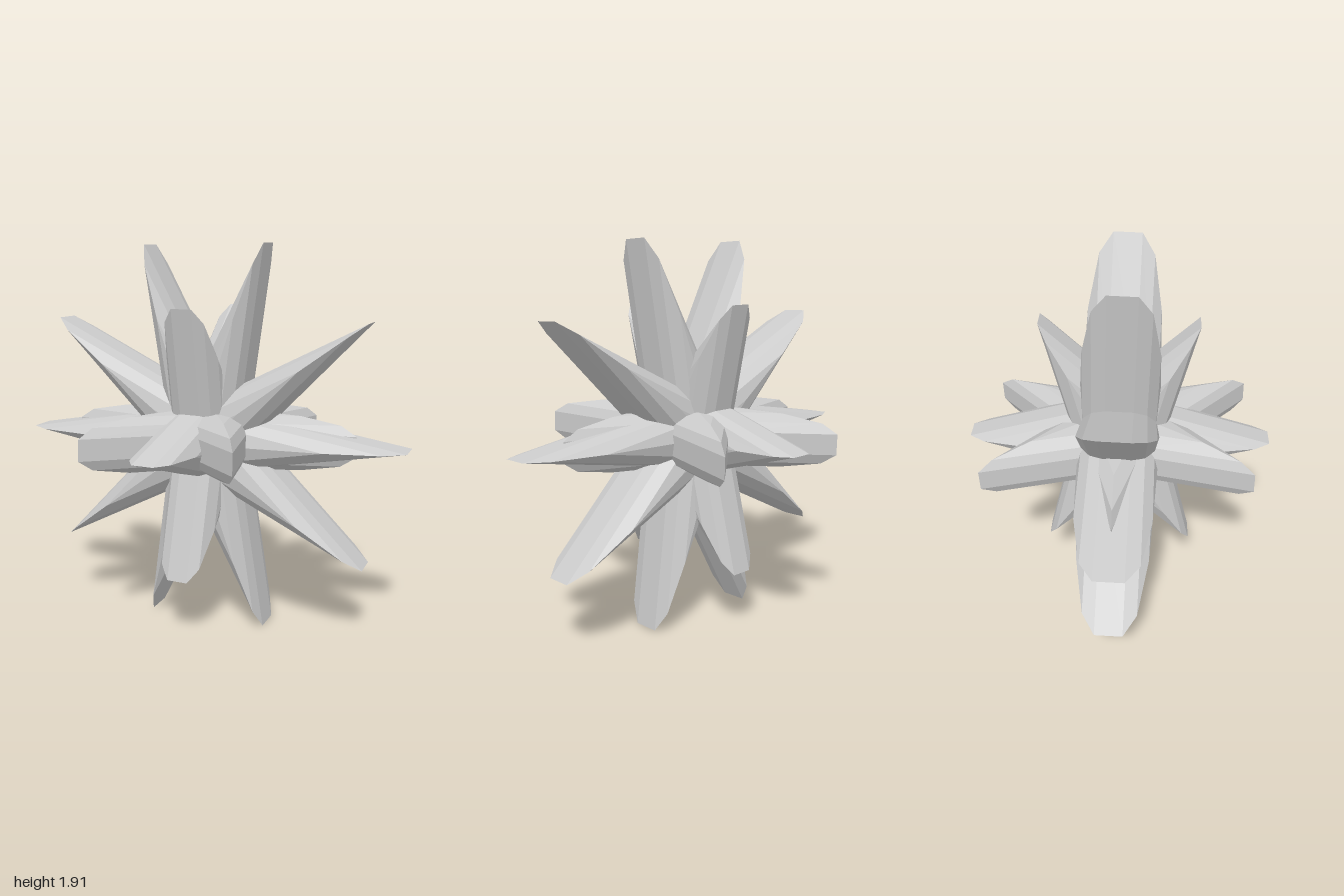
import * as THREE from 'three';

const material = new THREE.MeshStandardMaterial({ color: 0xcccccc, flatShading: true });

// Star plate in the xy plane: stacked star outlines that shrink towards
// both faces, which gives each ray a rounded edge and a short chisel tip.
function starGeometry(points, radius, innerRatio) {
  const half = [[0.27, 0.195], [0.635, 0.178], [0.9, 0.132], [1, 0.068]]; // [scale, depth]
  const layers = [
    ...half.map(([s, z]) => [s, -z]),
    ...half.slice().reverse(),
  ];
  const n = points * 2;
  const pos = [];
  const index = [];
  for (const [s, z] of layers) {
    for (let i = 0; i < n; i++) {
      const r = radius * s * (i % 2 ? innerRatio : 1);
      const a = (i / n) * Math.PI * 2;
      pos.push(r * Math.cos(a), r * Math.sin(a), z * radius);
    }
  }
  // Walls between neighbouring outlines
  for (let k = 0; k < layers.length - 1; k++) {
    for (let i = 0; i < n; i++) {
      const a = k * n + i, b = k * n + ((i + 1) % n);
      index.push(a, b, b + n, a, b + n, a + n);
    }
  }
  // Flat faces, back and front
  const back = pos.length / 3, front = back + 1, last = (layers.length - 1) * n;
  pos.push(0, 0, layers[0][1] * radius, 0, 0, -layers[0][1] * radius);
  for (let i = 0; i < n; i++) {
    const j = (i + 1) % n;
    index.push(back, j, i, front, last + i, last + j);
  }
  const indexed = new THREE.BufferGeometry();
  indexed.setAttribute('position', new THREE.Float32BufferAttribute(pos, 3));
  indexed.setIndex(index);
  const geometry = indexed.toNonIndexed();
  geometry.computeVertexNormals();
  return geometry;
}

export function createModel() {
  const group = new THREE.Group();
  group.name = 'spikedStar';

  const addStar = (name, geometry, x, y, z) => {
    const mesh = new THREE.Mesh(geometry, material);
    mesh.name = name;
    mesh.position.y = 0.952;
    mesh.rotation.set(x, y, z, 'ZYX');
    group.add(mesh);
  };

  // One large ten-rayed star crossed by two smaller six-rayed ones, each slightly tilted
  const small = starGeometry(6, 0.75, 0.39);
  addStar('largeUprightStar', starGeometry(10, 1, 0.36), 0.028, 0, 0);
  addStar('smallUprightStar', small, 0, Math.PI / 2, -0.023);
  addStar('smallLevelStar', small, Math.PI / 2 - 0.028, 0, 0);

  return group;
}
